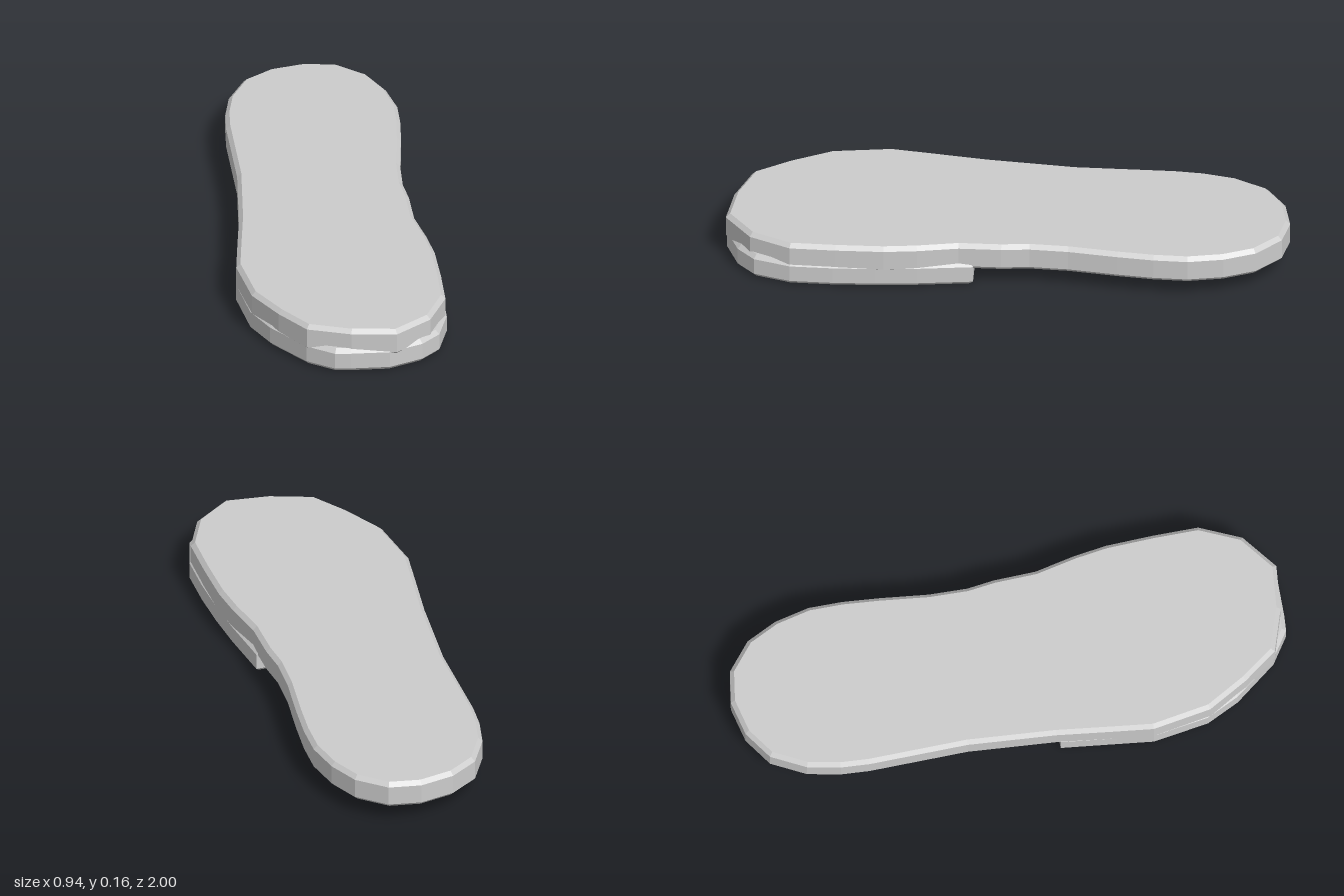
import * as THREE from 'three';

const BEVEL = 0.015;

// Outlines seen from above, as [x, z] pairs.
const SOLE = [
  [0.12, -1], [0.25, -1], [0.36, -0.955], [0.44, -0.85], [0.468, -0.73], [0.468, -0.6],
  [0.44, -0.48], [0.4, -0.355], [0.34, -0.185], [0.305, -0.05], [0.295, 0.05], [0.265, 0.2],
  [0.263, 0.35], [0.253, 0.47], [0.22, 0.64], [0.183, 0.8], [0.083, 0.93], [-0.065, 0.997],
  [-0.22, 0.945], [-0.36, 0.86], [-0.42, 0.72], [-0.468, 0.56], [-0.455, 0.345], [-0.41, 0.22],
  [-0.335, 0.015], [-0.24, -0.29], [-0.165, -0.64], [-0.135, -0.74], [-0.085, -0.85], [0.005, -0.955],
];
const PAD = [
  [0.28, 0.15], [0.265, 0.35], [0.247, 0.5], [0.222, 0.65], [0.188, 0.8], [0.12, 0.92],
  [0.04, 0.968], [-0.09, 0.99], [-0.225, 0.957], [-0.28, 0.94], [-0.36, 0.855], [-0.44, 0.68],
  [-0.47, 0.55], [-0.455, 0.345], [-0.41, 0.22], [-0.342, 0.03],
];

// Flat slab with chamfered rims, standing between two heights.
function slab(name, outline, bottom, top, material) {
  const shape = new THREE.Shape(outline.map(([x, z]) => new THREE.Vector2(x, -z)));
  const geometry = new THREE.ExtrudeGeometry(shape, {
    depth: top - bottom - 2 * BEVEL,
    bevelEnabled: true,
    bevelThickness: BEVEL,
    bevelSize: BEVEL,
    bevelOffset: -BEVEL,
    bevelSegments: 1,
  });
  geometry.rotateX(-Math.PI / 2);
  geometry.translate(0, bottom + BEVEL, 0);
  const mesh = new THREE.Mesh(geometry, material);
  mesh.name = name;
  return mesh;
}

export function createModel() {
  const model = new THREE.Group();
  model.name = 'shoeSole';
  const grey = new THREE.MeshStandardMaterial({ color: 0xcccccc });
  grey.name = 'lightGrey';

  // Full-length sole, with a raised pad under its front half
  model.add(slab('sole', SOLE, 0.06, 0.162, grey));
  model.add(slab('frontPad', PAD, 0, 0.09, grey));
  return model;
}
